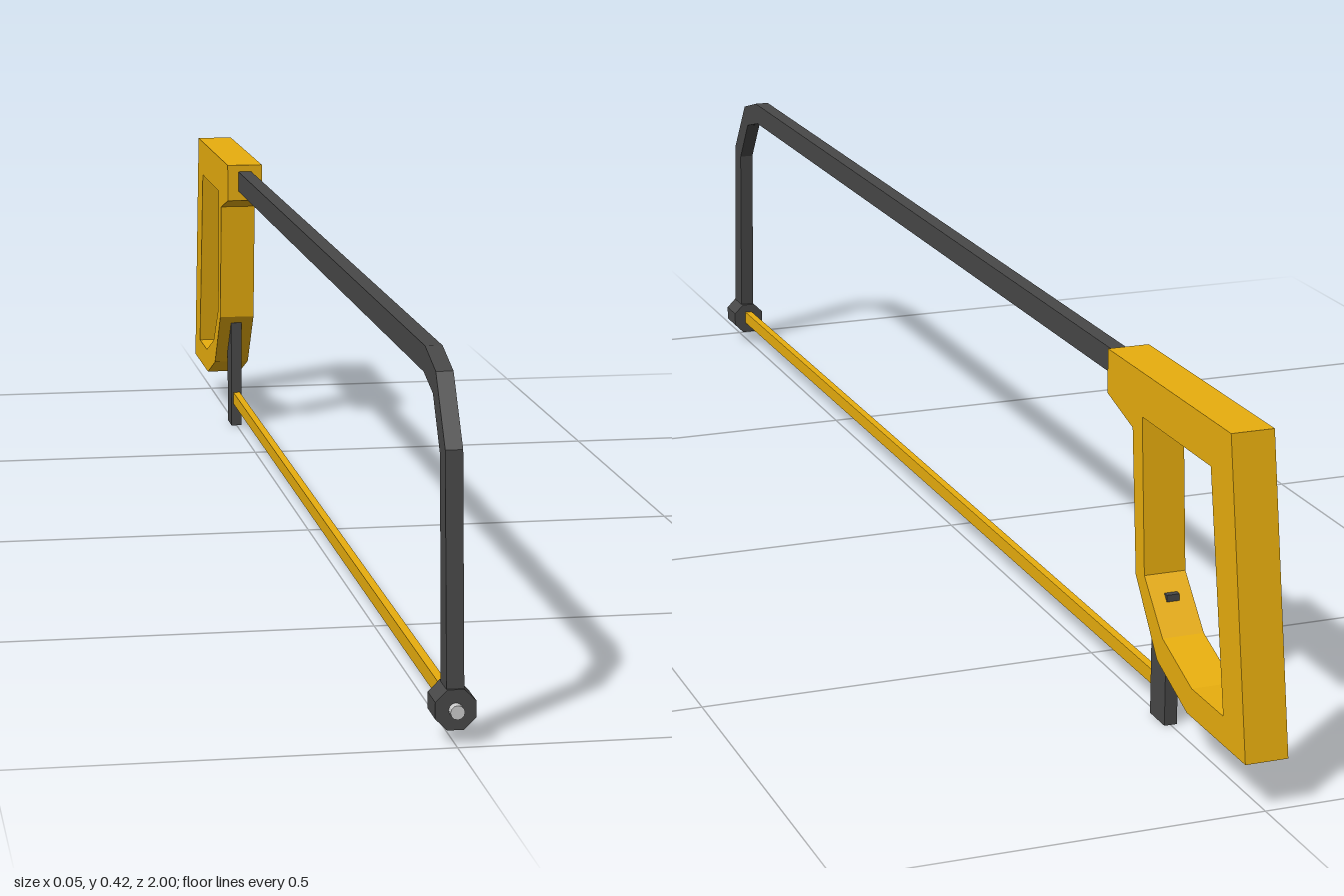
import * as THREE from 'three';

const mat = (color) => new THREE.MeshStandardMaterial({ color, flatShading: true });

// Extrude a side outline given as [z, y] points, centred on x = 0
function sidePlate(outline, width, hole) {
  const pts = (list) => list.map(([z, y]) => new THREE.Vector2(z, y));
  const shape = new THREE.Shape(pts(outline));
  if (hole) shape.holes.push(new THREE.Path(pts(hole)));
  const geo = new THREE.ExtrudeGeometry(shape, { depth: width, bevelEnabled: false });
  return geo.translate(0, 0, -width / 2).rotateY(-Math.PI / 2);
}

export function createModel() {
  const group = new THREE.Group();
  const yellow = mat(0xe8ae0e);
  const dark = mat(0x484848);
  const grey = mat(0xcccccc);

  const add = (name, geometry, material, x = 0, y = 0, z = 0) => {
    const mesh = new THREE.Mesh(geometry, material);
    mesh.name = name;
    mesh.position.set(x, y, z);
    group.add(mesh);
    return mesh;
  };

  // Closed grip with a finger opening
  add('handle', sidePlate(
    [[-0.6, 0.424], [-0.942, 0.424], [-1, 0.06], [-0.843, 0.06], [-0.757, 0.092],
      [-0.692, 0.175], [-0.676, 0.35], [-0.6, 0.37]],
    0.052,
    [[-0.703, 0.371], [-0.892, 0.371], [-0.94, 0.094], [-0.855, 0.094],
      [-0.772, 0.124], [-0.717, 0.182]],
  ), yellow);

  // Bent bar: top rail and front leg
  add('frame', sidePlate(
    [[-0.9, 0.414], [0.855, 0.414], [0.915, 0.397], [0.969, 0.322], [0.988, 0.03],
      [0.954, 0.03], [0.942, 0.31], [0.9, 0.37], [0.847, 0.384], [-0.9, 0.384]],
    0.0195,
  ), dark);

  // Rear post that holds the blade below the handle
  add('rearPost', new THREE.BoxGeometry(0.016, 0.163, 0.042), dark, 0, 0.0825, -0.721);

  // Blade stretched between the front knob and the rear post
  const blade = add('blade', new THREE.BoxGeometry(0.01, 0.018, 1.69), yellow, 0, 0.043, 0.125);
  blade.rotation.x = 0.002;

  // Eight-sided tension knob with its screw
  const knob = new THREE.CylinderGeometry(0.0245, 0.0245, 0.042, 8);
  add('tensionKnob', knob.rotateY(Math.PI / 8).rotateX(Math.PI / 2), dark, 0, 0.04, 0.968);
  const screw = new THREE.CylinderGeometry(0.008, 0.008, 0.05, 12);
  add('tensionScrew', screw.rotateX(Math.PI / 2), grey, 0, 0.04, 0.975);

  return group;
}
